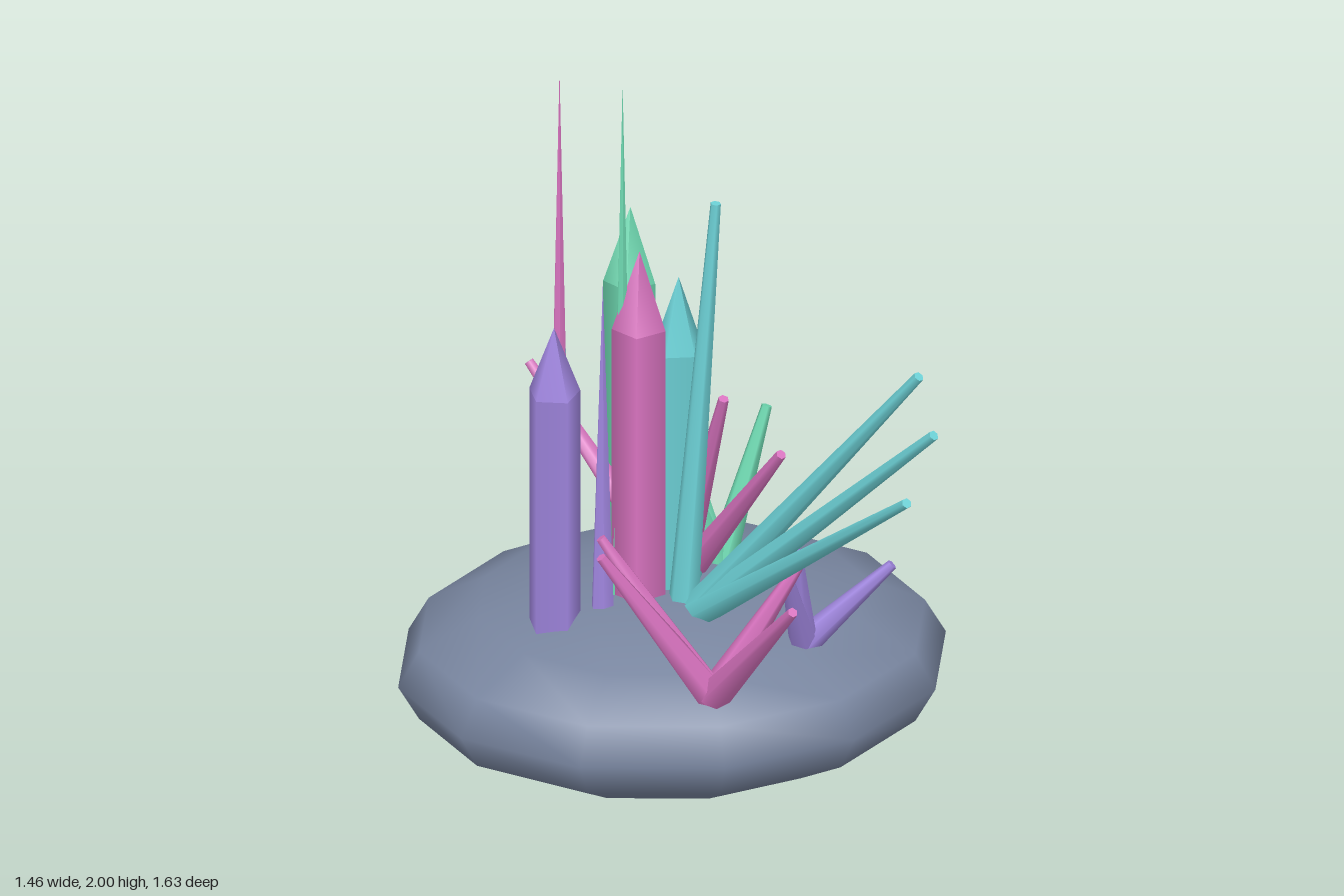
import * as THREE from 'three';

const paint = (name, hex) => {
  const m = new THREE.MeshStandardMaterial({ color: hex });
  m.name = name;
  return m;
};

export function createModel() {
  const mats = {
    rock: paint('slate rock', 0x78859f),
    pink: paint('pink crystal', 0xd873bf),
    teal: paint('teal crystal', 0x6ed3d8),
    purple: paint('purple crystal', 0xa086df),
    green: paint('green crystal', 0x6fdab2),
  };
  const model = new THREE.Group();
  model.name = 'crystalCluster';

  const add = (parent, name, geometry, color) => {
    const mesh = new THREE.Mesh(geometry, mats[color]);
    mesh.name = name;
    parent.add(mesh);
    return mesh;
  };

  // Squashed boulder
  const rock = add(model, 'rock', new THREE.SphereGeometry(1, 12, 8), 'rock');
  rock.scale.set(0.73, 0.257, 0.63);
  rock.position.set(0, 0.26, -0.19);

  // Upright five-sided columns with pointed caps: x, z, shoulder, tip, radius, turn
  const columns = [
    ['purple', -0.34, -0.075, 1.14, 1.33, 0.07, Math.PI / 2],
    ['pink', -0.10, -0.13, 1.28, 1.5, 0.074, -Math.PI / 2],
    ['green', -0.04, -0.51, 1.22, 1.43, 0.072, 0.9],
    ['teal', 0.01, -0.155, 1.19, 1.4, 0.066, 0.5],
    ['teal', -0.078, -0.225, 0.83, 1.04, 0.062, 0.3],
  ];
  for (const [color, x, z, shoulder, tip, r, turn] of columns) {
    const group = new THREE.Group();
    group.name = color + 'Column';
    group.position.set(x, 0, z);
    group.rotation.y = turn;
    model.add(group);
    const bottom = 0.4;
    const shaft = new THREE.CylinderGeometry(r, r, shoulder - bottom, 5, 1);
    add(group, 'columnShaft', shaft.translate(0, (shoulder + bottom) / 2, 0), color);
    const cap = new THREE.ConeGeometry(r, tip - shoulder, 5, 1, true);
    add(group, 'columnTip', cap.translate(0, (shoulder + tip) / 2, 0), color);
  }

  // Thin flattened needles: x, z, tip
  const needles = [
    ['pink', -0.285, -0.257, 1.99],
    ['green', -0.145, -0.13, 2.0],
    ['purple', -0.21, -0.075, 1.44],
    ['teal', -0.21, -0.54, 1.115],
  ];
  for (const [color, x, z, tip] of needles) {
    const h = tip - 0.42;
    const geometry = new THREE.ConeGeometry(0.034, h, 6);
    geometry.scale(1, 1, 0.5).translate(x, tip - h / 2, z);
    add(model, color + 'Needle', geometry, color);
  }

  // Bursts of blunt tapered spikes fanning out from a shared root
  const up = new THREE.Vector3(0, 1, 0);
  const bursts = [
    ['teal', 0.042, [0, 0.43, -0.07],
      [[0.09, 1.65, -0.07], [0.505, 1.385, 0.5], [0.515, 1.28, 0.635], [0.405, 1.18, 0.805]]],
    ['pink', 0.042, [0.03, 0.45, -0.25],
      [[0.10, 1.1, -0.02], [0.22, 1.0, 0.13], [-0.295, 0.97, -0.58]]],
    ['pink', 0.045, [0, 0.4, 0.3],
      [[-0.295, 0.835, 0.285], [-0.27, 0.83, 0.17], [0.23, 0.76, 0.3], [0.14, 0.8, 0.63]]],
    ['purple', 0.04, [0.28, 0.44, 0.13],
      [[0.51, 0.66, 0.16], [0.245, 0.75, 0.21], [0.205, 0.72, 0.26], [0.26, 0.73, 0.1]]],
    ['green', 0.042, [0.14, 0.47, -0.26],
      [[0.285, 0.9, -0.335], [0.05, 0.89, -0.43], [-0.02, 0.88, -0.395], [0, 0.92, -0.28]]],
  ];
  for (const [color, r, root, tips] of bursts) {
    const group = new THREE.Group();
    group.name = color + 'Burst';
    group.position.set(...root);
    model.add(group);
    for (const tip of tips) {
      const arm = new THREE.Vector3(...tip).sub(group.position);
      const length = arm.length();
      const geometry = new THREE.CylinderGeometry(0.014, r, length, 6);
      const spike = add(group, 'spike', geometry.translate(0, length / 2, 0), color);
      spike.quaternion.setFromUnitVectors(up, arm.normalize());
    }
  }
  return model;
}
